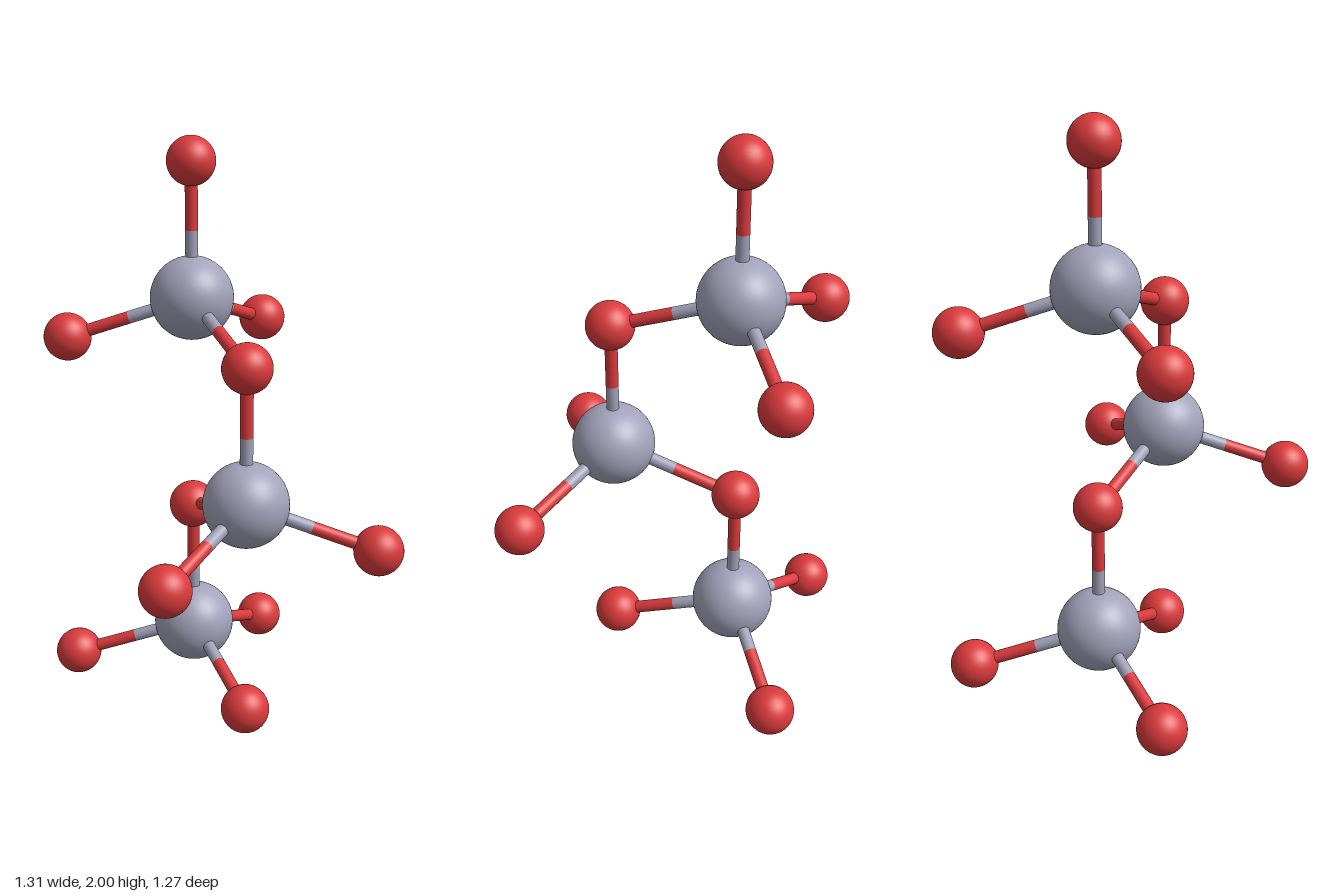
import * as THREE from 'three';

const CORE_R = 0.145, END_R = 0.084, ROD_R = 0.022;
const REACH = 0.44, DROP = 0.147, RISE = 0.4637; // bond offsets from each core
const OFF_X = 0.19, OFF_Z = 0.11;

export function createModel() {
  const model = new THREE.Group();
  const grey = new THREE.MeshStandardMaterial({ color: 0xa2a2ba });
  const red = new THREE.MeshStandardMaterial({ color: 0xdb3a3c });
  const coreGeo = new THREE.SphereGeometry(CORE_R, 48, 32);
  const endGeo = new THREE.SphereGeometry(END_R, 40, 24);
  const up = new THREE.Vector3(0, 1, 0);

  function ball(name, geo, mat, p) {
    const m = new THREE.Mesh(geo, mat);
    m.name = name;
    m.position.copy(p);
    model.add(m);
  }

  function rod(name, mat, a, b) {
    const d = b.clone().sub(a);
    const m = new THREE.Mesh(new THREE.CylinderGeometry(ROD_R, ROD_R, d.length(), 24), mat);
    m.name = name;
    m.position.copy(a).add(b).multiplyScalar(0.5);
    m.quaternion.setFromUnitVectors(up, d.normalize());
    model.add(m);
  }

  // Three tetrahedral units stacked in a zigzag, the middle one turned half round
  for (let i = 0; i < 3; i++) {
    const s = i === 1 ? -1 : 1;
    const core = new THREE.Vector3(-s * OFF_X, END_R + DROP + i * (RISE + DROP), -s * OFF_Z);
    ball('greyAtom', coreGeo, grey, core);

    // One upright bond and three splayed downwards
    const ends = [new THREE.Vector3(0, RISE, 0)];
    for (let k = 0; k < 3; k++) {
      const a = Math.PI / 6 + k * Math.PI * 2 / 3;
      ends.push(new THREE.Vector3(s * REACH * Math.cos(a), -DROP, s * REACH * Math.sin(a)));
    }
    ends.forEach((offset, k) => {
      const end = core.clone().add(offset);
      const mid = core.clone().lerp(end, 0.5);
      rod('greyBondHalf', grey, core, mid);
      rod('redBondHalf', red, mid, end);
      // The upright end of a lower unit is shared with the unit above
      if (k > 0 || i === 2) ball('redAtom', endGeo, red, end);
    });
  }
  return model;
}
